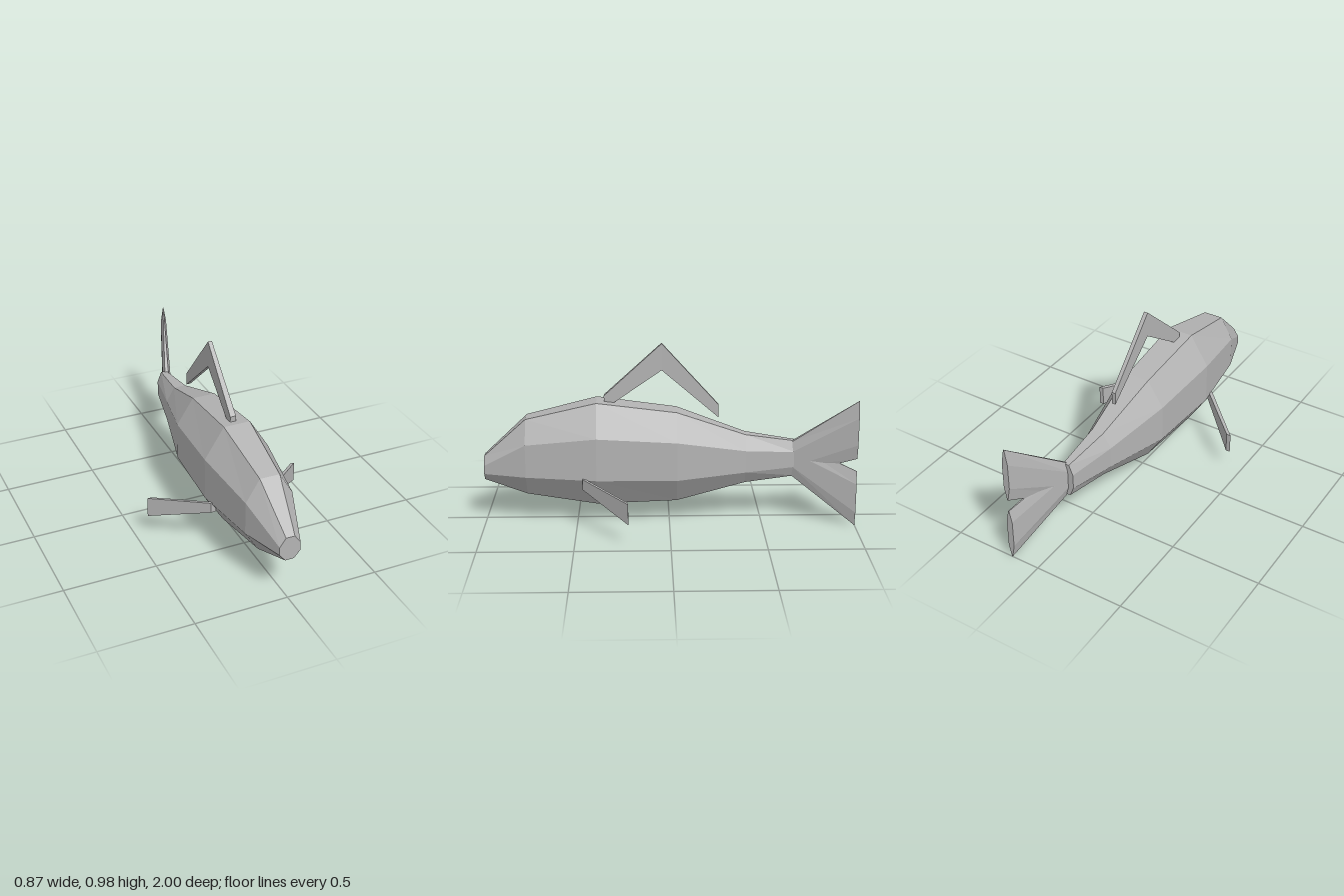
import * as THREE from 'three';

const grey = new THREE.MeshStandardMaterial({ color: 0xb4b4b4 });
grey.name = 'grey';

// Joins rings of [x, y] points (counter-clockwise seen from +z), listed front to back, with flat facets.
function loft(name, sections) {
  const n = sections[0].ring.length;
  const last = (sections.length - 1) * n;
  const positions = sections.flatMap(({ z, ring }) => ring.flatMap(([x, y]) => [x, y, z]));
  const index = [];
  for (let s = 0; s < sections.length - 1; s++) {
    for (let i = 0; i < n; i++) {
      const a = s * n + i, b = s * n + (i + 1) % n;
      index.push(a, a + n, b, b, a + n, b + n);
    }
  }
  for (let i = 1; i < n - 1; i++) {
    index.push(0, i, i + 1, last, last + i + 1, last + i);
  }
  const indexed = new THREE.BufferGeometry();
  indexed.setAttribute('position', new THREE.Float32BufferAttribute(positions, 3));
  indexed.setIndex(index);
  const geometry = indexed.toNonIndexed();
  geometry.computeVertexNormals();
  const mesh = new THREE.Mesh(geometry, grey);
  mesh.name = name;
  return mesh;
}

// Eight-sided section: centre x, side half width, edge half width, then heights from bottom to top.
function octagon(z, cx, side, edge, bottom, low, high, top) {
  const right = [[edge, bottom], [side, low], [side, high], [edge, top]];
  const left = right.map(([x, y]) => [-x, y]).reverse();
  return { z, ring: [...right, ...left].map(([x, y]) => [cx + x, y]) };
}

// Four-sided section of a fin.
function box(z, x0, x1, y0, y1) {
  return { z, ring: [[x0, y0], [x1, y0], [x1, y1], [x0, y1]] };
}

export function createModel() {
  const fish = new THREE.Group();
  fish.name = 'fish';

  // Body, curving slightly to its left at the back
  fish.add(loft('body', [
    octagon(1.0, 0.003, 0.057, 0.024, 0.235, 0.275, 0.32, 0.367),
    octagon(0.77, 0, 0.128, 0.054, 0.16, 0.275, 0.455, 0.578),
    octagon(0.39, 0, 0.179, 0.073, 0.105, 0.27, 0.502, 0.67),
    octagon(-0.04, 0.005, 0.156, 0.064, 0.12, 0.262, 0.472, 0.615),
    octagon(-0.41, 0.018, 0.08, 0.034, 0.215, 0.285, 0.406, 0.485),
    octagon(-0.68, 0.03, 0.04, 0.017, 0.25, 0.306, 0.39, 0.447),
  ]));

  // Tail lobes, which share a root and spread apart
  const root = octagon(-0.665, 0.042, 0.026, 0.011, 0.25, 0.306, 0.39, 0.445);
  fish.add(loft('upperTailLobe', [root,
    octagon(-1, 0.161, 0.017, 0.002, 0.38, 0.46, 0.61, 0.70)]));
  fish.add(loft('lowerTailLobe', [root,
    octagon(-1, 0.161, 0.017, 0.002, 0.002, 0.08, 0.24, 0.31)]));

  // Bent back fin
  fish.add(loft('backFin', [
    box(0.35, -0.019, 0.013, 0.62, 0.695),
    box(0.04, -0.006, 0.016, 0.835, 0.98),
    box(-0.265, 0.001, 0.023, 0.575, 0.645),
  ]));

  // Side fins
  fish.add(loft('leftFin', [
    box(0.465, 0.15, 0.178, 0.222, 0.28),
    box(0.22, 0.41, 0.434, 0.118, 0.23),
  ]));
  fish.add(loft('rightFin', [
    box(0.465, -0.178, -0.15, 0.222, 0.28),
    box(0.22, -0.434, -0.41, 0.118, 0.23),
  ]));

  return fish;
}
